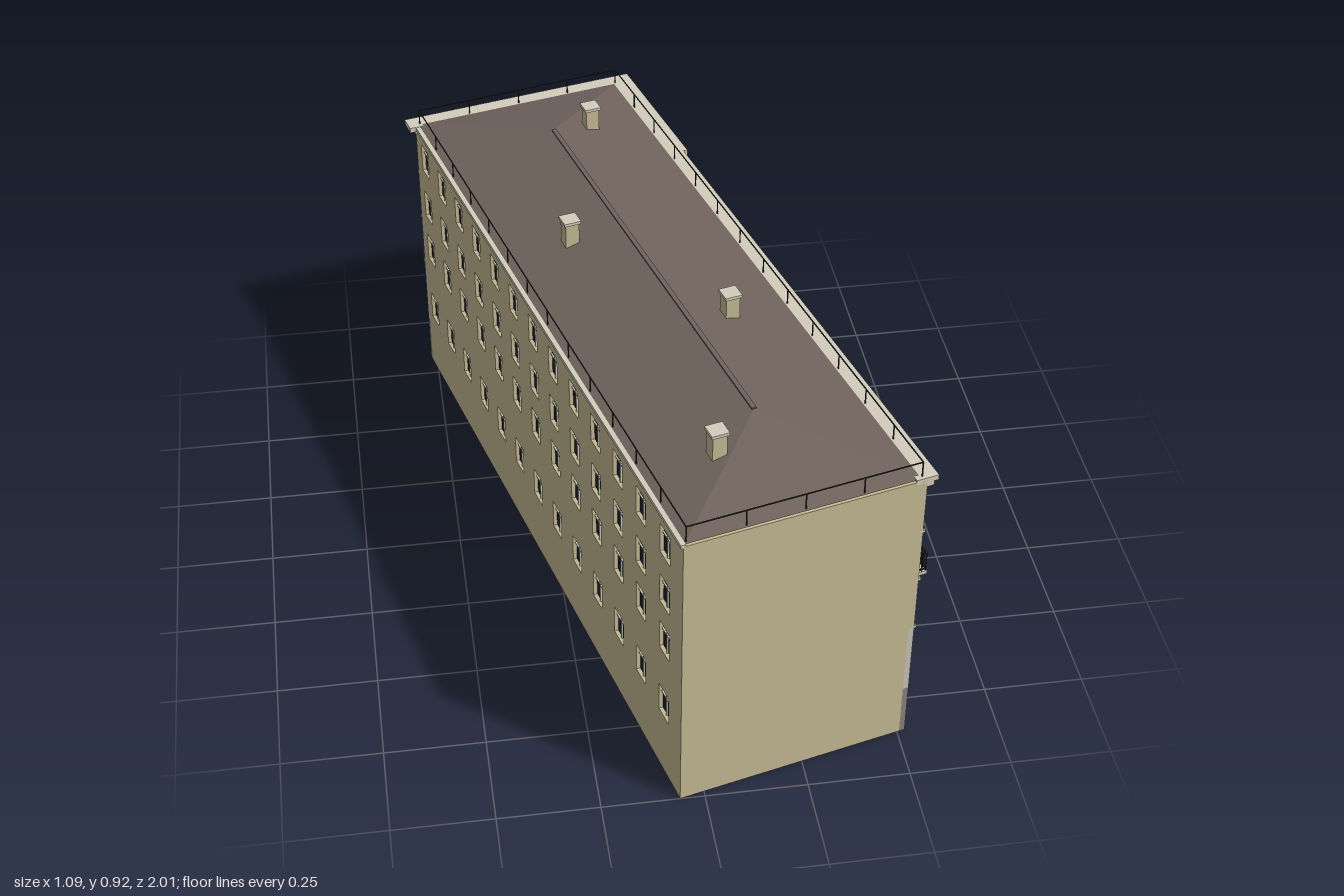
import * as THREE from 'three';

const mat = (color, side = THREE.FrontSide) => new THREE.MeshStandardMaterial({ color, side, flatShading: true });
const TAN = mat(0xc6bb94), STONE = mat(0xc6c4bc), BASE = mat(0x88857f), TRIM = mat(0xd2cdbb);
const GLASS = mat(0x17212b, THREE.DoubleSide), IRON = mat(0x2b2a29), ROOF = mat(0x70635d, THREE.DoubleSide);
const HW = 0.299, HL = 0.943, T = 0.015; // half width, half length, wall thickness

function box(parent, name, m, w, h, d, x, y, z) {
  const b = new THREE.Mesh(new THREE.BoxGeometry(w, h, d), m);
  b.name = name;
  b.position.set(x, y, z);
  parent.add(b);
  return b;
}

function group(parent, name, x = 0, y = 0, z = 0, ry = 0) {
  const g = new THREE.Group();
  g.name = name;
  g.position.set(x, y, z);
  g.rotation.y = ry;
  parent.add(g);
  return g;
}

// Facade panel with openings; facade frame: x along, y up, z outward, z0 = outer face
function wall(f, name, m, x0, x1, y0, y1, openings = [], z0 = 0) {
  const rect = (C, a, b, c, d) => {
    const s = new C();
    s.moveTo(a, c); s.lineTo(b, c); s.lineTo(b, d); s.lineTo(a, d); s.closePath();
    return s;
  };
  const shape = rect(THREE.Shape, x0, x1, y0, y1);
  for (const o of openings) {
    shape.holes.push(rect(THREE.Path, o.x - o.w / 2, o.x + o.w / 2, o.y, o.y + o.h));
    glazing(f, o, z0);
  }
  const mesh = new THREE.Mesh(new THREE.ExtrudeGeometry(shape, { depth: T + z0, bevelEnabled: false }), m);
  mesh.name = name;
  mesh.position.z = -T;
  f.add(mesh);
}

// Recessed pane, glazing bars and sill
function glazing(f, { x, y, w, h, cols = 2, bar = 0.68, m = TRIM, sill = true }, z0) {
  const g = group(f, 'window', x, y, z0);
  box(g, 'pane', GLASS, w, h, 0.002, 0, h / 2, -0.011);
  for (let i = 1; i < cols; i++) box(g, 'mullion', m, 0.004, h, 0.004, -w / 2 + (w * i) / cols, h / 2, -0.008);
  if (bar) box(g, 'transom', m, w, 0.003, 0.004, 0, h * bar, -0.008);
  if (sill) box(g, 'sill', TRIM, w + 0.01, 0.005, 0.01, 0, -0.003, 0.003);
}

// Iron railing along a polyline of [x, z] points
function railing(parent, pts, y, h, step, r = 0.003, rails = [1]) {
  const g = group(parent, 'railing', 0, y, 0);
  for (let i = 0; i + 1 < pts.length; i++) {
    const [ax, az] = pts[i], [bx, bz] = pts[i + 1];
    const len = Math.hypot(bx - ax, bz - az), n = Math.max(1, Math.round(len / step));
    for (const k of rails) {
      const rail = box(g, 'rail', IRON, len, r, r, (ax + bx) / 2, h * k, (az + bz) / 2);
      rail.rotation.y = -Math.atan2(bz - az, bx - ax);
    }
    for (let j = 0; j <= n; j++) box(g, 'post', IRON, r, h, r, ax + ((bx - ax) * j) / n, h / 2, az + ((bz - az) * j) / n);
  }
}

function balcony(f, x, w, d, y, z0, brackets, step) {
  const g = group(f, 'balcony', x, y, z0);
  box(g, 'slab', TRIM, w, 0.01, d, 0, 0, d / 2);
  const bracket = new THREE.Shape([[0, 0], [d * 0.85, 0], [d * 0.75, -0.012], [d * 0.25, -0.035], [0, -0.04]].map(p => new THREE.Vector2(...p)));
  const geo = new THREE.ExtrudeGeometry(bracket, { depth: 0.012, bevelEnabled: false });
  for (let i = 0; i < brackets; i++) {
    const b = new THREE.Mesh(geo, TRIM);
    b.name = 'bracket';
    b.rotation.y = -Math.PI / 2;
    b.position.set((i / (brackets - 1) - 0.5) * (w - 0.04) + 0.006, -0.004, 0);
    g.add(b);
  }
  const e = w / 2 - 0.003;
  railing(g, [[-e, 0], [-e, d - 0.003], [e, d - 0.003], [e, 0]], 0.005, 0.053, step, 0.0025, [0.1, 1]);
}

// Entrance stoop with side wall, steps and handrail
function stoop(f, x) {
  const g = group(f, 'stoop', x);
  box(g, 'landing', BASE, 0.105, 0.13, 0.04, 0.012, 0.065, 0.02);
  box(g, 'upperStep', BASE, 0.105, 0.122, 0.01, 0.012, 0.061, 0.045);
  box(g, 'lowerStep', BASE, 0.105, 0.114, 0.012, 0.012, 0.057, 0.056);
  box(g, 'sideWall', BASE, 0.022, 0.125, 0.06, -0.051, 0.0625, 0.03);
  railing(g, [[-0.04, 0.003], [-0.04, 0.055]], 0.12, 0.045, 0.05, 0.003);
  railing(g, [[0.062, 0.003], [0.062, 0.055]], 0.12, 0.045, 0.05, 0.003);
}

const ROWS = [0.39, 0.535, 0.68];

function streetFacade(b) {
  const f = group(b, 'streetFacade', HW, 0, 0, Math.PI / 2);
  const split = 0.53, P = 0.012, upper = [], ground = [];
  for (let i = 0; i < 11; i++) {
    const x = -0.876 + i * 0.134, door = i === 3 || i === 9;
    ROWS.forEach((y, r) => {
      const french = r === 1 && i < 3;
      upper.push({ x, y: french ? 0.495 : y, w: 0.06, h: french ? 0.1 : 0.088, sill: !french });
    });
    ground.push(door ? { x, y: 0.147, w: 0.076, h: 0.125, m: IRON, sill: false } : { x, y: 0.16, w: 0.1, h: 0.135, m: IRON, cols: 3 });
    if (door) stoop(f, x);
    if (i < 3) {
      balcony(f, x, 0.085, 0.035, 0.488, 0, 2, 0.012);
      const arch = new THREE.Mesh(new THREE.TorusGeometry(0.038, 0.003, 5, 16, Math.PI), TRIM);
      arch.name = 'archTrim';
      arch.position.set(x, 0.597, 0);
      f.add(arch);
    }
  }
  wall(f, 'plinth', BASE, -HL, split, 0, 0.145);
  wall(f, 'groundFloor', STONE, -HL, split, 0.145, 0.345, ground);
  wall(f, 'upperFloors', TAN, -HL, split, 0.345, 0.8, upper);

  // Projecting end bay
  const bay = [
    { x: 0.738, y: 0.695, w: 0.355, h: 0.065, cols: 9, bar: 0 },
    { x: 0.738, y: 0.375, w: 0.078, h: 0.085, cols: 3 },
    ...[0.61, 0.738, 0.866].map(x => ({ x, y: 0.498, w: 0.056, h: 0.117, sill: false }))
  ];
  wall(f, 'bayPlinth', BASE, split, HL, 0, 0.145, [], P);
  wall(f, 'bayGroundFloor', STONE, split, HL, 0.145, 0.345, [], P);
  wall(f, 'bayUpperFloors', TAN, split, HL, 0.345, 0.8, bay, P);
  balcony(f, 0.738, 0.42, 0.062, 0.492, P, 5, 0.035);
  box(f, 'windowHood', TRIM, 0.1, 0.008, 0.02, 0.738, 0.469, P);
  for (const s of [-1, 1]) {
    box(f, 'blindFrameSide', TRIM, 0.005, 0.115, 0.01, 0.735 + s * 0.037, 0.232, P);
    box(f, 'blindFrameRail', TRIM, 0.078, 0.005, 0.01, 0.735, 0.232 + s * 0.056, P);
  }
  // String courses and stepped cornice
  for (const y of [0.345, 0.497, 0.645]) {
    box(f, 'stringCourse', TRIM, HL + split, 0.007, 0.012, (split - HL) / 2, y, 0);
    box(f, 'bayStringCourse', TRIM, HL - split, 0.007, 0.012, (split + HL) / 2, y, P);
  }
  box(f, 'corniceLower', TRIM, 2 * HL + 0.012, 0.012, 0.034, 0.006, 0.786, 0);
  box(f, 'corniceUpper', TRIM, 2 * HL + 0.025, 0.014, 0.056, 0.0125, 0.799, 0);
  box(f, 'bayCornice', TRIM, HL - split + 0.025, 0.02, 0.045, (HL + split) / 2 + 0.0125, 0.796, 0.017);
}

function backFacade(b) {
  const f = group(b, 'backFacade', 0, 0, -HL, Math.PI);
  const e = HW - T, wins = [];
  for (const x of [-0.145, 0, 0.145]) for (const y of ROWS) wins.push({ x, y, w: 0.06, h: 0.088 });
  wall(f, 'plinth', BASE, -e, HW, 0, 0.145);
  wall(f, 'groundFloor', STONE, -e, HW, 0.145, 0.345);
  wall(f, 'upperFloors', TAN, -e, HW, 0.345, 0.8, wins);
  for (const y of [0.345, 0.497, 0.645]) box(f, 'stringCourse', TRIM, 2 * HW, 0.007, 0.012, 0, y, 0);
  box(f, 'corniceLower', TRIM, 2 * HW + 0.012, 0.012, 0.034, 0, 0.786, 0);
  box(f, 'corniceUpper', TRIM, 2 * HW + 0.045, 0.014, 0.05, 0, 0.799, 0);
}

function plainFacades(b) {
  const f = group(b, 'courtyardFacade', -HW, 0, 0, -Math.PI / 2);
  const wins = [];
  for (let i = 0; i < 13; i++)
    for (const y of [0.18, 0.385, 0.53, 0.68]) wins.push({ x: -0.868 + i * 0.1423, y, w: 0.058, h: 0.082, sill: false });
  wall(f, 'courtyardWall', TAN, -HL + T, HL, 0, 0.8, wins);
  box(f, 'eavesStrip', TRIM, 2 * HL, 0.01, 0.012, 0, 0.8, 0);
  const g = group(b, 'endFacade', 0, 0, HL);
  wall(g, 'endWall', TAN, -HW + T, HW - T, 0, 0.8);
}

function roof(b) {
  const g = group(b, 'roof');
  // Hipped roof: a box whose top edge is drawn in to a ridge
  const geo = new THREE.BoxGeometry(2 * HW - 0.008, 0.077, 2 * HL - 0.008);
  const p = geo.attributes.position;
  for (let i = 0; i < p.count; i++) if (p.getY(i) > 0) p.setXYZ(i, 0, p.getY(i), Math.sign(p.getZ(i)) * 0.65);
  const hip = new THREE.Mesh(geo.toNonIndexed(), ROOF);
  hip.geometry.computeVertexNormals();
  hip.name = 'hippedRoof';
  hip.position.y = 0.8415;
  g.add(hip);
  box(g, 'ridgeCap', ROOF, 0.012, 0.005, 1.3, 0, 0.88, 0);
  for (const [x, z] of [[0.115, -0.675], [-0.131, -0.185], [0.114, 0.258], [-0.127, 0.728]]) {
    const c = group(g, 'chimney', x, 0, z);
    box(c, 'stack', TAN, 0.036, 0.07, 0.036, 0, 0.875, 0);
    box(c, 'cap', TRIM, 0.044, 0.008, 0.044, 0, 0.912, 0);
  }
  const x = HW - 0.01, z = HL - 0.01;
  railing(g, [[-x, -z], [x, -z], [x, z], [-x, z], [-x, -z]], 0.803, 0.044, 0.145, 0.0025, [1]);
}

export function createModel() {
  const model = new THREE.Group();
  model.name = 'apartmentBuilding';
  const b = group(model, 'building', 0.002, 0, 0.0125, THREE.MathUtils.degToRad(14));
  streetFacade(b);
  backFacade(b);
  plainFacades(b);
  roof(b);
  return model;
}
